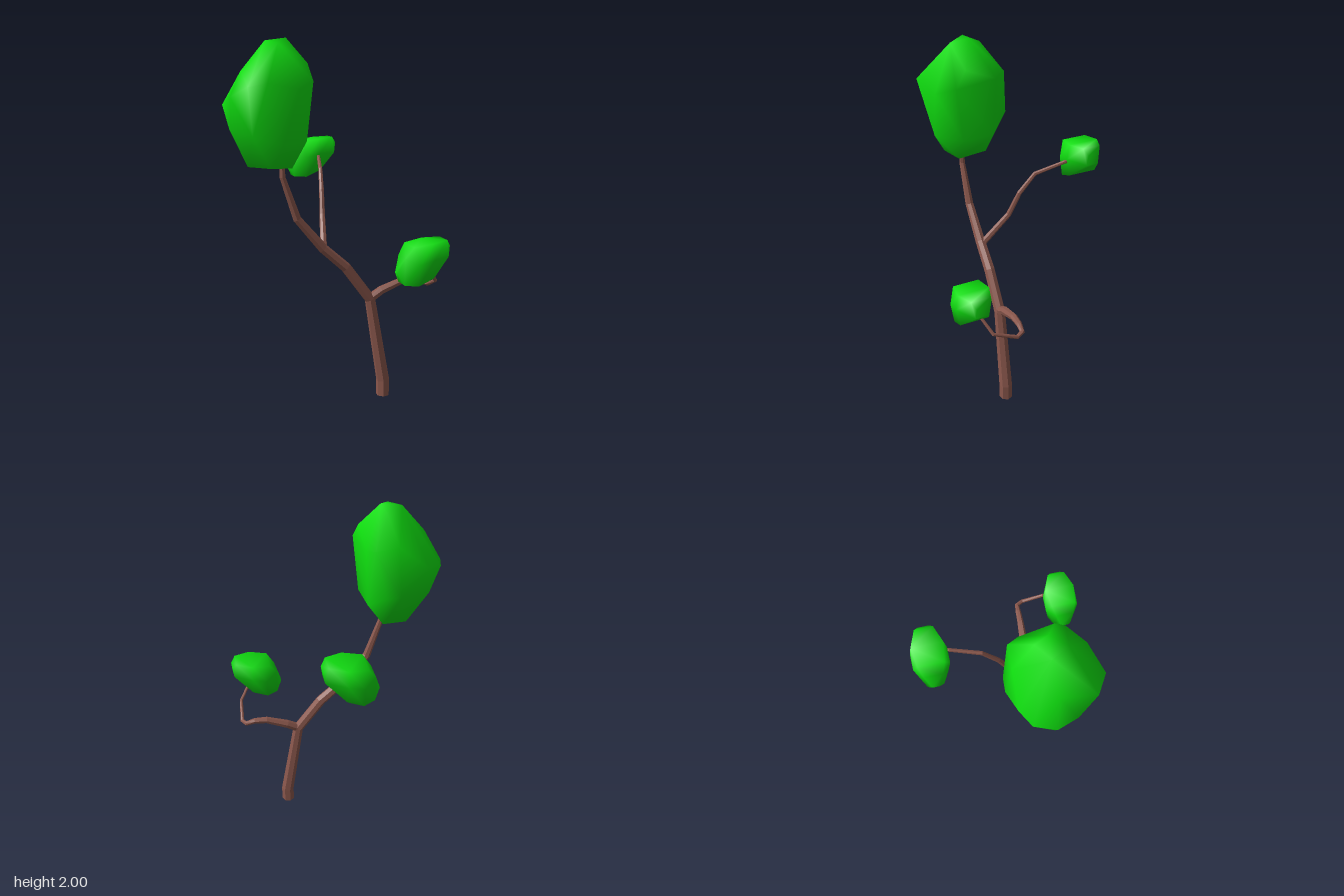
import * as THREE from 'three';
import { ConvexGeometry } from 'three/addons/geometries/ConvexGeometry.js';
import { mergeVertices } from 'three/addons/utils/BufferGeometryUtils.js';

const bark = new THREE.MeshStandardMaterial({ color: 0x8a574c, flatShading: true });
const leaf = new THREE.MeshStandardMaterial({ color: 0x0fdd0f });
const SIDES = 7;

// Tapered faceted limb through stations [x, y, z, radius]
function limb(name, stations) {
  const pts = stations.map(([x, y, z]) => new THREE.Vector3(x, y, z));
  const up = new THREE.Vector3(0, 1, 0), q = new THREE.Quaternion();
  const pos = [], index = [], last = pts.length - 1;
  pts.forEach((p, i) => {
    // Each ring lies across the average of the two neighbouring directions
    const dir = new THREE.Vector3();
    if (i > 0) dir.add(p.clone().sub(pts[i - 1]).normalize());
    if (i < last) dir.add(pts[i + 1].clone().sub(p).normalize());
    q.setFromUnitVectors(up, dir.normalize());
    for (let j = 0; j < SIDES; j++) {
      const a = (j / SIDES) * Math.PI * 2, r = stations[i][3];
      const v = new THREE.Vector3(r * Math.cos(a), 0, -r * Math.sin(a)).applyQuaternion(q).add(p);
      pos.push(v.x, v.y, v.z);
      if (i < last) {
        const A = i * SIDES + j, B = i * SIDES + (j + 1) % SIDES;
        index.push(A, B, A + SIDES, B, B + SIDES, A + SIDES);
      }
    }
  });
  // End caps
  for (let j = 1; j < SIDES - 1; j++) {
    const e = last * SIDES;
    index.push(0, j + 1, j, e, e + j, e + j + 1);
  }
  const geo = new THREE.BufferGeometry();
  geo.setAttribute('position', new THREE.Float32BufferAttribute(pos, 3));
  geo.setIndex(index);
  geo.computeVertexNormals();
  const mesh = new THREE.Mesh(geo, bark);
  mesh.name = name;
  return mesh;
}

// Smooth-shaded convex clump of leaves around a few corner points
function clump(points) {
  let geo = new ConvexGeometry(points.map((p) => new THREE.Vector3(...p)));
  geo.deleteAttribute('normal');
  geo = mergeVertices(geo, 1e-4);
  geo.computeVertexNormals();
  return geo;
}

export function createModel() {
  const tree = new THREE.Group();
  tree.name = 'tree';

  // Trunk and branches
  tree.add(
    limb('trunk', [
      [0.305, 0, 0.165, 0.038], [0.305, 0.09, 0.165, 0.038], [0.222, 0.575, 0.163, 0.031],
      [0.08, 0.765, 0.16, 0.03], [-0.05, 0.88, 0.158, 0.028], [-0.195, 1.05, 0.16, 0.023],
      [-0.275, 1.28, 0.165, 0.016], [-0.28, 1.5, 0.165, 0.013],
    ]),
    limb('sideBranch', [
      [0.21, 0.57, 0.163, 0.027], [0.29, 0.62, 0.16, 0.025], [0.41, 0.668, 0.165, 0.02],
      [0.48, 0.672, 0.167, 0.017], [0.53, 0.657, 0.172, 0.014], [0.55, 0.652, 0.21, 0.012],
      [0.537, 0.705, 0.34, 0.01], [0.47, 0.8, 0.39, 0.008],
    ]),
    limb('backBranch', [
      [-0.045, 0.86, 0.155, 0.02], [-0.01, 1.04, 0.0, 0.016], [0.003, 1.17, -0.06, 0.014],
      [0.02, 1.28, -0.145, 0.012], [0.055, 1.333, -0.31, 0.01], [0.065, 1.34, -0.36, 0.008],
    ]),
  );

  // Crown at the top of the trunk
  const crown = new THREE.Mesh(clump([
    // underside
    [-0.45, 1.335, 0.12], [-0.35, 1.335, 0.24], [-0.23, 1.33, 0.2], [-0.25, 1.335, 0.03], [-0.38, 1.335, 0.03],
    // lower ring
    [-0.54, 1.53, 0.1], [-0.49, 1.52, 0], [-0.31, 1.56, -0.09], [-0.235, 1.56, -0.085],
    [-0.16, 1.47, 0.02], [-0.15, 1.47, 0.2], [-0.3, 1.46, 0.31], [-0.45, 1.5, 0.27],
    // widest ring
    [-0.575, 1.66, 0.1], [-0.55, 1.7, 0.2], [-0.48, 1.75, 0.31], [-0.39, 1.77, 0.365],
    [-0.215, 1.74, 0.325], [-0.125, 1.78, 0.24], [-0.14, 1.8, 0.01], [-0.175, 1.82, -0.05],
    [-0.3, 1.83, -0.055], [-0.46, 1.7, -0.06], [-0.54, 1.68, -0.01],
    // top
    [-0.14, 1.87, 0.18], [-0.48, 1.83, 0.12], [-0.24, 2, 0.12], [-0.35, 1.985, 0.11],
    [-0.3, 1.97, 0.2], [-0.26, 1.97, 0.05],
  ]), leaf);
  crown.name = 'crown';
  tree.add(crown);

  // Two matching small clumps at the branch tips, mirrored front to back
  const half = [
    [-0.145, -0.06, 0.02], [0.145, 0.08, 0.03], [-0.115, -0.118, 0.045], [-0.05, -0.118, 0.08],
    [0.035, -0.08, 0.08], [0.12, 0.115, 0.05], [0.03, 0.107, 0.085], [-0.075, 0.09, 0.07],
    [-0.05, 0, 0.098], [0.03, 0.02, 0.098], [0.137, 0.02, 0.035], [-0.115, 0.03, 0.05],
  ];
  const small = clump(half.flatMap(([x, y, z]) => [[x, y, z], [x, y, -z]]));
  for (const [name, x, y, z] of [
    ['sideClump', 0.425, 0.84, 0.41],
    ['backClump', 0.036, 1.33, -0.415],
  ]) {
    const mesh = new THREE.Mesh(small, leaf);
    mesh.name = name;
    mesh.position.set(x, y, z);
    tree.add(mesh);
  }
  return tree;
}
